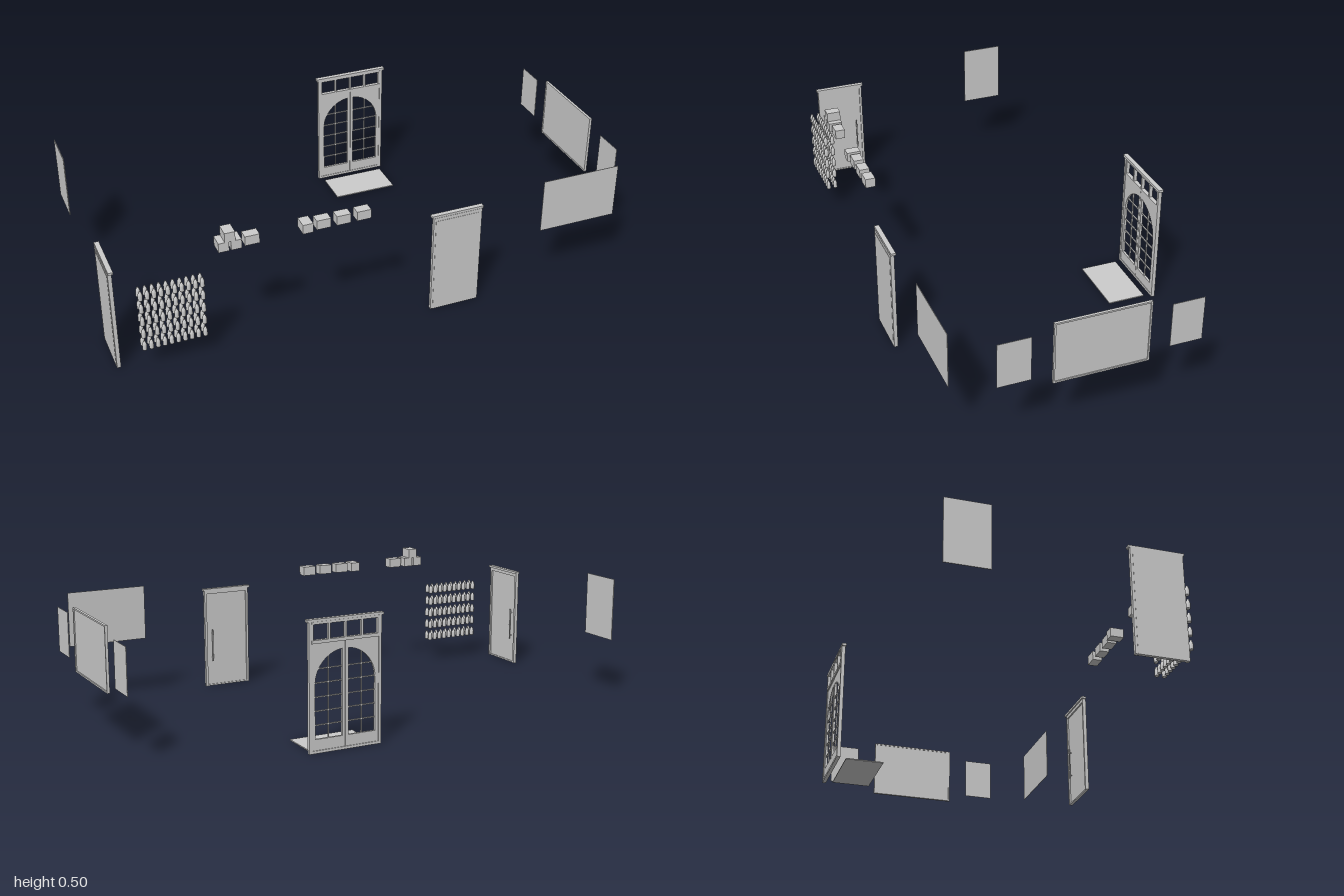
import * as THREE from 'three';

const grey = new THREE.MeshStandardMaterial({ color: 0xcccccc, side: THREE.DoubleSide });

function add(parent, name, geometry, x = 0, y = 0, z = 0) {
  const mesh = new THREE.Mesh(geometry, grey);
  mesh.name = name;
  mesh.position.set(x, y, z);
  parent.add(mesh);
  return mesh;
}

// Box given by its lowest and highest corners
function span(parent, name, x0, x1, y0, y1, z0, z1) {
  return add(parent, name, new THREE.BoxGeometry(x1 - x0, y1 - y0, z1 - z0),
    (x0 + x1) / 2, (y0 + y1) / 2, (z0 + z1) / 2);
}

// Single door: leaf at the back, casing, cornice and pull bar towards local +z
function createDoor(name, handleX) {
  const door = new THREE.Group();
  door.name = name;
  span(door, 'doorLeaf', -0.087, 0.087, 0.006, 0.383, 0, 0.009);
  span(door, 'threshold', -0.087, 0.087, 0, 0.006, 0, 0.012);
  for (const s of [-1, 1]) {
    add(door, 'jamb', new THREE.BoxGeometry(0.009, 0.396, 0.014), s * 0.091, 0.198, 0.008);
  }
  span(door, 'headCasing', -0.095, 0.095, 0.383, 0.396, 0.001, 0.015);
  span(door, 'cornice', -0.101, 0.101, 0.396, 0.405, 0.002, 0.02);
  add(door, 'pullBar', new THREE.CylinderGeometry(0.0025, 0.0025, 0.13, 10), handleX, 0.17, 0.018);
  for (const y of [0.12, 0.22]) {
    add(door, 'pullPost', new THREE.BoxGeometry(0.003, 0.003, 0.01), handleX, y, 0.013);
  }
  return door;
}

// Double door with one arched opening shared by two glazed leaves, and a transom
function createDoubleDoor() {
  const door = new THREE.Group();
  door.name = 'archedDoubleDoor';
  const inner = 0.012, radius = 0.118, spring = 0.245, sill = 0.05;
  const arcY = x => spring + Math.sqrt(radius * radius - x * x);
  for (const s of [-1, 1]) {
    const leaf = new THREE.Shape([[0.001, 0.01], [0.132, 0.01], [0.132, 0.39], [0.001, 0.39]]
      .map(([x, y]) => new THREE.Vector2(s * x, y)));
    const outline = [[inner, sill], [radius, sill]];
    const end = Math.acos(inner / radius);
    for (let i = 0; i <= 14; i++) {
      const a = end * i / 14;
      outline.push([radius * Math.cos(a), spring + radius * Math.sin(a)]);
    }
    leaf.holes.push(new THREE.Path(outline.map(([x, y]) => new THREE.Vector2(s * x, y))));
    add(door, 'doorLeaf', new THREE.ExtrudeGeometry(leaf, { depth: 0.009, bevelEnabled: false }), 0, 0, -0.004);
    // Glazing bars stop at the arch
    const mid = (inner + radius) / 2;
    add(door, 'uprightBar', new THREE.BoxGeometry(0.004, arcY(mid) - sill, 0.005),
      s * mid, (arcY(mid) + sill) / 2, 0);
    for (let i = 1; i <= 5; i++) {
      const y = sill + i * 0.05;
      const reach = y > spring ? Math.sqrt(radius ** 2 - (y - spring) ** 2) : radius;
      add(door, 'crossBar', new THREE.BoxGeometry(reach - inner, 0.004, 0.005), s * (reach + inner) / 2, y, 0);
    }
    add(door, 'jamb', new THREE.BoxGeometry(0.011, 0.465, 0.014), s * 0.1365, 0.2325, 0);
  }
  span(door, 'threshold', -0.142, 0.142, 0, 0.01, -0.007, 0.007);
  span(door, 'transomRail', -0.132, 0.132, 0.39, 0.402, -0.009, 0.006);
  span(door, 'transomHead', -0.132, 0.132, 0.457, 0.466, -0.009, 0.006);
  for (let i = -2; i <= 2; i++) {
    add(door, 'transomPost', new THREE.BoxGeometry(0.007, 0.057, 0.013), i * 0.0645, 0.43, -0.002);
  }
  span(door, 'cornice', -0.149, 0.149, 0.465, 0.475, -0.008, 0.01);
  return door;
}

export function createModel() {
  const model = new THREE.Group();
  model.name = 'shopFittings';

  // Doors
  const sideDoor = createDoor('sideDoor', 0.065);
  sideDoor.rotation.y = Math.PI / 2;
  sideDoor.position.set(-1, 0, 0.323);
  const frontDoor = createDoor('frontDoor', -0.065);
  frontDoor.rotation.y = Math.PI;
  frontDoor.position.set(0.254, 0, 0.517);
  const doubleDoor = createDoubleDoor();
  doubleDoor.position.set(0.256, 0, -0.506);
  model.add(sideDoor, frontDoor, doubleDoor);
  span(model, 'doorMat', 0.13, 0.383, 0, 0.004, -0.475, -0.33);

  // Wall panels
  span(model, 'sideWallPoster', -0.993, -0.99, 0.232, 0.475, -0.413, -0.25);
  span(model, 'frontWallPanel', 0.605, 0.915, 0.23, 0.441, 0.504, 0.506);
  for (const z of [-0.31, 0.31]) {
    span(model, 'smallPoster', 0.995, 0.997, 0.25, 0.42, z - 0.06, z + 0.06);
  }
  span(model, 'largeBoard', 0.992, 0.996, 0.218, 0.45, -0.17, 0.17);
  for (const s of [-1, 1]) {
    add(model, 'boardFrameSide', new THREE.BoxGeometry(0.01, 0.239, 0.006), 0.995, 0.334, s * 0.171);
    add(model, 'boardFrameRail', new THREE.BoxGeometry(0.01, 0.006, 0.337), 0.995, 0.334 + s * 0.1165, 0);
  }

  // Cartons: x, y, turned lengthways
  const cartons = [
    [-0.611, 0.451, 0], [-0.566, 0.451, 0], [-0.588, 0.487, 0], [-0.507, 0.451, 1],
    [-0.307, 0.451, 0], [-0.246, 0.451, 1], [-0.171, 0.451, 1], [-0.095, 0.451, 1],
  ];
  for (const [x, y, turned] of cartons) {
    const box = add(model, 'carton', new THREE.BoxGeometry(0.038, 0.036, 0.053), x, y, 0.459);
    if (turned) box.rotation.y = Math.PI / 2;
  }

  // Bottles in five rows, two deep
  const bottle = new THREE.LatheGeometry([[0, 0], [0.0075, 0], [0.0082, 0.002], [0.0082, 0.021],
    [0.0065, 0.028], [0.0045, 0.031], [0.0045, 0.035], [0, 0.035]]
    .map(([x, y]) => new THREE.Vector2(x, y)), 12);
  for (let row = 0; row < 5; row++) {
    for (let col = 0; col < 10; col++) {
      for (const z of [0.443, 0.471]) {
        add(model, 'bottle', bottle, -0.907 + col * 0.0242, 0.094 + row * 0.052, z);
      }
    }
  }
  return model;
}
